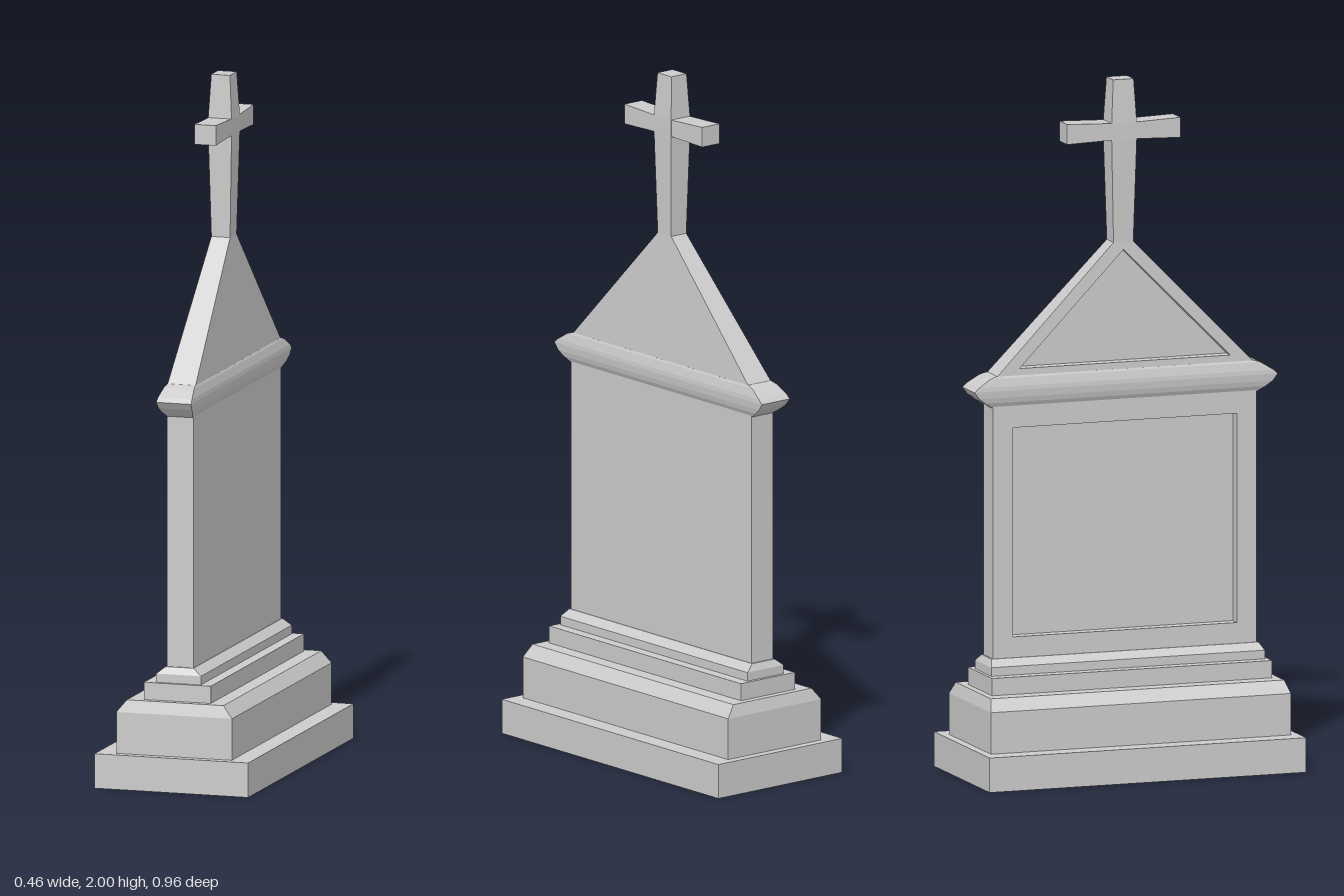
import * as THREE from 'three';

const material = new THREE.MeshStandardMaterial({ color: 0xcccccc, flatShading: true });

// Stack of rectangles [y, halfX, halfZ] joined by flat faces, closed at both ends
function loft(name, sections) {
  const pos = [];
  const ring = ([y, hx, hz]) => [[hx, y, hz], [hx, y, -hz], [-hx, y, -hz], [-hx, y, hz]];
  const quad = (a, b, c, d) => pos.push(...a, ...b, ...c, ...a, ...c, ...d);
  const rings = sections.map(ring);
  for (let i = 0; i < rings.length - 1; i++) {
    const lo = rings[i], hi = rings[i + 1];
    for (let k = 0; k < 4; k++) {
      const n = (k + 1) % 4;
      quad(lo[k], lo[n], hi[n], hi[k]);
    }
  }
  const [a, b, c, d] = rings[0];
  quad(d, c, b, a);
  quad(...rings[rings.length - 1]);
  const geo = new THREE.BufferGeometry();
  geo.setAttribute('position', new THREE.Float32BufferAttribute(pos, 3));
  geo.computeVertexNormals();
  const mesh = new THREE.Mesh(geo, material);
  mesh.name = name;
  return mesh;
}

// Upright slab in the z-y plane with a sunk field on its -x face;
// halfAt(y) gives the half thickness at each height
function sunkSlab(name, outline, field, halfAt) {
  const group = new THREE.Group();
  group.name = name;
  const points = list => list.map(([z, y]) => new THREE.Vector2(z, y));
  const layer = (part, x0, x1, hole) => {
    const shape = new THREE.Shape(points(outline));
    if (hole) shape.holes.push(new THREE.Path(points(hole)));
    const geo = new THREE.ExtrudeGeometry(shape, { depth: x1 - x0, bevelEnabled: false });
    geo.translate(0, 0, x0).rotateY(Math.PI / 2);
    const p = geo.attributes.position;
    for (let i = 0; i < p.count; i++) p.setX(i, p.getX(i) * halfAt(p.getY(i)));
    geo.computeVertexNormals();
    const mesh = new THREE.Mesh(geo, material);
    mesh.name = part;
    group.add(mesh);
  };
  layer(name + 'Back', -0.15, 1);
  layer(name + 'Frame', -1, -0.15, field);
  return group;
}

export function createModel() {
  const model = new THREE.Group();
  model.name = 'monument';

  // Stepped base
  model.add(
    loft('plinth', [[0, 0.23, 0.48], [0.1, 0.23, 0.48]]),
    loft('lowerStep', [[0.1, 0.173, 0.455], [0.22, 0.173, 0.455], [0.255, 0.145, 0.445]]),
    loft('middleStep', [[0.255, 0.1, 0.425], [0.305, 0.1, 0.425]]),
    loft('upperStep', [[0.305, 0.067, 0.415], [0.33, 0.067, 0.415], [0.35, 0.042, 0.405]])
  );

  // Tablet with a sunk rectangular field
  const rect = (z, y0, y1) => [[-z, y0], [z, y0], [z, y1], [-z, y1]];
  model.add(sunkSlab('tablet', rect(0.4, 0.35, 1.08), rect(0.34, 0.41, 1.015), () => 0.04));

  // Moulded cornice
  model.add(loft('cornice', [
    [1.075, 0.038, 0.402], [1.09, 0.046, 0.425], [1.105, 0.05, 0.445], [1.125, 0.052, 0.46],
    [1.137, 0.051, 0.447], [1.16, 0.045, 0.41], [1.166, 0.042, 0.39]
  ]));

  // Tapered gable with a sunk triangular field
  const gable = [[-0.39, 1.163], [0.39, 1.163], [0.03, 1.53], [-0.03, 1.53]];
  const gableField = [[-0.32, 1.185], [0.32, 1.185], [0, 1.508]];
  model.add(sunkSlab('gable', gable, gableField,
    y => THREE.MathUtils.mapLinear(y, 1.163, 1.53, 0.042, 0.028)));

  // Cross with flared arms
  const cross = new THREE.Group();
  cross.name = 'cross';
  cross.add(loft('post', [
    [1.53, 0.028, 0.03], [1.825, 0.035, 0.038], [1.875, 0.035, 0.038], [2, 0.028, 0.031]
  ]));
  for (const side of [1, -1]) {
    const arm = loft(side > 0 ? 'frontArm' : 'rearArm', [[0.03, 0.0345, 0.024], [0.172, 0.032, 0.029]]);
    arm.rotation.x = side * Math.PI / 2;
    arm.position.y = 1.851;
    cross.add(arm);
  }
  model.add(cross);
  return model;
}
